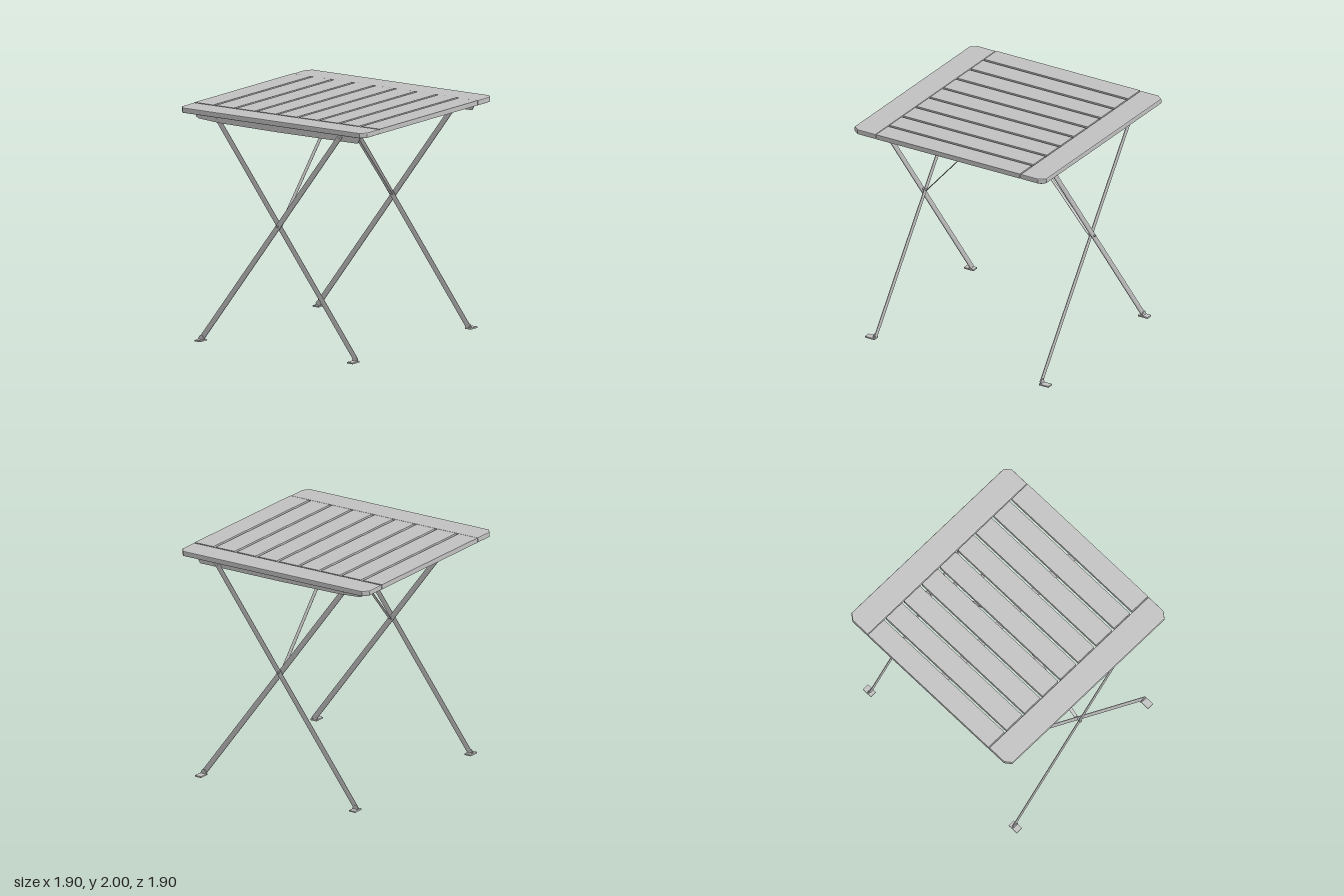
import * as THREE from 'three';

const grey = new THREE.MeshStandardMaterial({ color: 0xc0c0c0 });
grey.name = 'painted grey';

const V = (x, y, z) => new THREE.Vector3(x, y, z);

function add(parent, name, geometry) {
  const mesh = new THREE.Mesh(geometry, grey);
  mesh.name = name;
  parent.add(mesh);
  return mesh;
}

function box(parent, name, w, h, d, x, y, z) {
  const mesh = add(parent, name, new THREE.BoxGeometry(w, h, d));
  mesh.position.set(x, y, z);
  return mesh;
}

// Flat bar between two points, with a shallow ridge on both broad faces
function bar(parent, name, from, to, thick, width, alongX) {
  const t = thick / 2, w = width / 2;
  const pts = [[t * 0.5, -w], [t, -w * 0.5], [t, w * 0.5], [t * 0.5, w],
    [-t * 0.5, w], [-t, w * 0.5], [-t, -w * 0.5], [-t * 0.5, -w]]
    .map(([a, b]) => (alongX ? new THREE.Vector2(a, b) : new THREE.Vector2(b, a)));
  const geometry = new THREE.ExtrudeGeometry(new THREE.Shape(pts), {
    depth: from.distanceTo(to), bevelEnabled: false,
  });
  const mesh = add(parent, name, geometry);
  mesh.position.copy(from);
  mesh.lookAt(to);
  return mesh;
}

// Plate in the y-z plane, given as [z, y] points
function sidePlate(points, thick, x) {
  const shape = new THREE.Shape(points.map(([z, y]) => new THREE.Vector2(-z, y)));
  return new THREE.ExtrudeGeometry(shape, { depth: thick, bevelEnabled: false })
    .rotateY(Math.PI / 2).translate(x - thick / 2, 0, 0);
}

// Wide end board with clipped outer corners and softened edges
function endBoard(s) {
  const pts = [[0.719, -0.95], [0.895, -0.95], [0.95, -0.908], [0.95, 0.908], [0.895, 0.95], [0.719, 0.95]];
  const shape = new THREE.Shape(pts.map(([x, z]) => new THREE.Vector2(s * x, z)));
  const b = 0.008;
  return new THREE.ExtrudeGeometry(shape, {
    depth: 0.045 - 2 * b, bevelThickness: b, bevelSize: b, bevelOffset: -b, bevelSegments: 2,
  }).rotateX(-Math.PI / 2).translate(0, 1.955 + b, 0);
}

export function createModel() {
  const table = new THREE.Group();
  table.name = 'foldingTable';

  // Slatted top
  const top = new THREE.Group();
  top.name = 'tableTop';
  table.add(top);
  const pitch = 0.2137;
  for (let i = -4; i <= 4; i++) {
    const outer = Math.abs(i) === 4;
    const z0 = i === -4 ? -0.95 : i * pitch - 0.0945;
    const z1 = i === 4 ? 0.95 : i * pitch + 0.0945;
    box(top, outer ? 'edgeSlat' : 'slat', 1.424, 0.042, z1 - z0, 0, 1.979, (z0 + z1) / 2);
  }

  // Strap under the slats, holding the braces
  box(top, 'centreStrap', 0.08, 0.012, 1.6, 0, 1.952, 0);

  for (const s of [1, -1]) {
    add(top, 'endBoard', endBoard(s));

    const side = new THREE.Group();
    side.name = s > 0 ? 'leftFrame' : 'rightFrame';
    table.add(side);

    // Rail under the end board
    add(side, 'rail', sidePlate([[0.855, 1.957], [0.81, 1.88], [0, 1.878], [-0.6, 1.885],
      [-0.82, 1.9], [-0.845, 1.915], [-0.845, 1.957]], 0.01, s * 0.834));

    // Crossed legs
    bar(side, 'outerLeg', V(s * 0.848, 1.93, 0.645), V(s * 0.848, 0.015, -0.785), 0.012, 0.046, true);
    bar(side, 'innerLeg', V(s * 0.82, 1.925, -0.645), V(s * 0.82, 0.015, 0.785), 0.012, 0.046, true);

    // Pivot pins
    for (const [y, z, x0, x1] of [[1.072, 0, 0.802, 0.866], [1.912, -0.638, 0.81, 0.844], [1.905, 0.626, 0.826, 0.858]]) {
      const pin = add(side, 'pivotPin', new THREE.CylinderGeometry(0.01, 0.01, x1 - x0, 10));
      pin.rotation.z = Math.PI / 2;
      pin.position.set(s * (x0 + x1) / 2, y, z);
    }

    // Feet turned outward, with a small upright tab against each leg
    for (const f of [1, -1]) {
      box(side, 'foot', 0.095, 0.012, 0.06, s * 0.862, 0.006, f * 0.782);
      add(side, 'footTab', sidePlate([[f * 0.812, 0.01], [f * 0.795, 0.045], [f * 0.765, 0.045], [f * 0.745, 0.01]],
        0.008, s * (f > 0 ? 0.828 : 0.856)));
    }

    // Diagonal brace from the strap to the leg crossing
    bar(side, 'brace', V(s * 0.035, 1.945, 0), V(s * 0.808, 1.065, 0), 0.007, 0.03, false);
  }
  return table;
}
